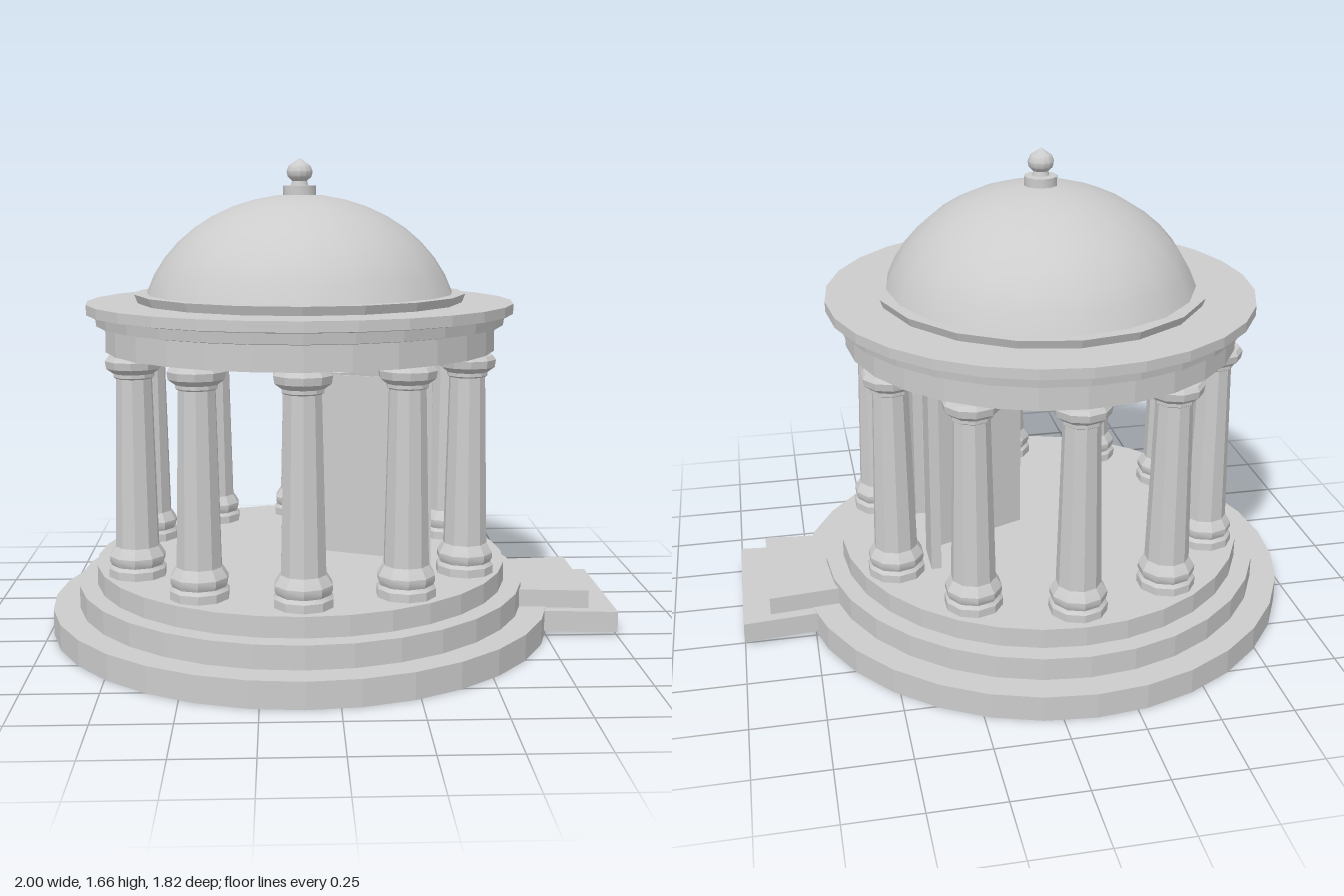
import * as THREE from 'three';
import { toCreasedNormals } from 'three/addons/utils/BufferGeometryUtils.js';

export function createModel() {
  const model = new THREE.Group();
  const stone = new THREE.MeshStandardMaterial({ color: 0xcccccc, side: THREE.DoubleSide });
  stone.name = 'pale stone';

  // the round building sits left of the origin to leave room for the stairs
  const rotunda = new THREE.Group();
  rotunda.name = 'rotunda';
  rotunda.position.x = -0.11;
  model.add(rotunda);

  const add = (parent, name, geometry) => {
    const mesh = new THREE.Mesh(geometry, stone);
    mesh.name = name;
    parent.add(mesh);
    return mesh;
  };
  const lathe = (profile, sides, crease = 0.1) => toCreasedNormals(
    new THREE.LatheGeometry(profile.map(([r, y]) => new THREE.Vector2(r, y)), sides), crease);

  // three-stepped platform, hollow underneath
  add(rotunda, 'steppedPlatform', lathe([
    [0.91, 0], [0.91, 0.09], [0.815, 0.09], [0.815, 0.17],
    [0.75, 0.17], [0.75, 0.24], [0, 0.24],
  ], 32)).scale.x = 0.98;

  // entablature ring with flat ceiling and roof
  add(rotunda, 'entablature', lathe([
    [0, 1.0], [0.7, 1.0], [0.7, 1.085], [0.73, 1.09], [0.735, 1.125],
    [0.765, 1.13], [0.765, 1.165], [0, 1.165],
  ], 28)).scale.x = 0.985;

  // low ring under the dome
  add(rotunda, 'domeRing', lathe([
    [0.6, 1.165], [0.612, 1.195], [0.55, 1.195],
  ], 18)).scale.x = 0.955;

  // dome
  const domeProfile = [];
  const sweep = 1.3;
  for (let i = 0; i <= 9; i++) {
    const a = sweep * (1 - i / 9);
    const rise = (Math.cos(a) - Math.cos(sweep)) / (1 - Math.cos(sweep));
    domeProfile.push([0.57 * Math.sin(a) / Math.sin(sweep), 1.19 + 0.35 * rise]);
  }
  add(rotunda, 'dome', lathe(domeProfile, 20, 0.6)).scale.x = 0.955;

  // finial: plinth, neck and pointed ball
  add(rotunda, 'finial', lathe([
    [0.058, 1.53], [0.058, 1.568], [0.03, 1.57], [0.026, 1.585], [0.042, 1.6],
    [0.046, 1.618], [0.038, 1.638], [0.015, 1.653], [0, 1.665],
  ], 12, 0.7));

  // ten columns: five in front, five behind, open at both sides
  const columnGeometry = lathe([
    [0, 0.24], [0.1, 0.24], [0.1, 0.268], [0.09, 0.28], [0.097, 0.295], [0.097, 0.312],
    [0.085, 0.332], [0.076, 0.345], [0.062, 0.925], [0.07, 0.93], [0.07, 0.942],
    [0.094, 0.96], [0.098, 0.985], [0.088, 1.0], [0, 1.0],
  ], 10, 0.5);
  for (const side of [1, -1]) {
    for (let i = -2; i <= 2; i++) {
      const angle = THREE.MathUtils.degToRad(33 * i);
      const column = add(rotunda, 'column', columnGeometry);
      column.position.set(0.62 * Math.sin(angle), 0, side * 0.625 * Math.cos(angle));
    }
  }

  // doorway wall with its opening facing the stairs
  const wall = new THREE.Shape([
    [-0.28, 0.24], [-0.14, 0.24], [-0.14, 0.9], [0.14, 0.9],
    [0.14, 0.24], [0.28, 0.24], [0.28, 1.0], [-0.28, 1.0],
  ].map(([z, y]) => new THREE.Vector2(z, y)));
  const doorway = add(rotunda, 'doorwayWall',
    new THREE.ExtrudeGeometry(wall, { depth: 0.035, bevelEnabled: false }));
  doorway.rotation.y = Math.PI / 2;
  doorway.position.x = 0.41;

  // two leaves running inwards and meeting behind the opening
  const leafLength = Math.hypot(0.34, 0.14);
  for (const side of [1, -1]) {
    const leaf = add(rotunda, 'doorLeaf', new THREE.BoxGeometry(leafLength, 0.65, 0.008));
    leaf.position.set(0.24, 0.575, side * 0.07);
    leaf.rotation.y = -side * Math.atan2(0.14, 0.34);
  }

  // flared stair treads joining the platform
  const tread = (name, x0, x1, half0, half1, y0, y1) => {
    const outline = new THREE.Shape([
      [x0, -half0], [x1, -half1], [x1, half1], [x0, half0],
    ].map(([x, z]) => new THREE.Vector2(x, z)));
    const geometry = new THREE.ExtrudeGeometry(outline, { depth: y1 - y0, bevelEnabled: false });
    geometry.rotateX(-Math.PI / 2);
    geometry.translate(0, y0, 0);
    add(model, name, geometry);
  };
  tread('lowerTread', 0.72, 1.0, 0.245, 0.27, 0.015, 0.088);
  tread('upperTread', 0.62, 0.905, 0.195, 0.222, 0.085, 0.152);

  return model;
}
